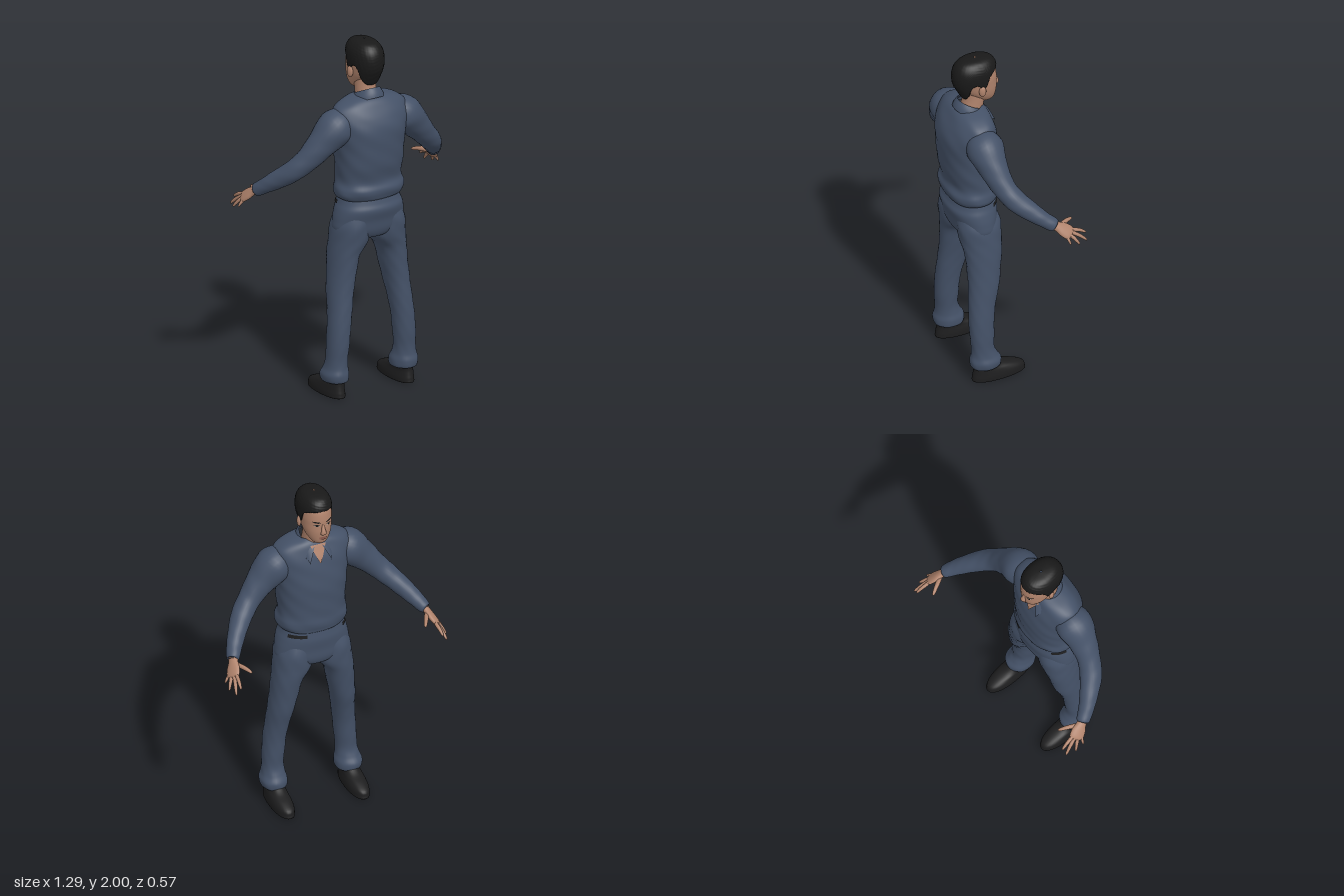
import * as THREE from 'three';

const mat = (name, color, side = THREE.FrontSide) => {
  const m = new THREE.MeshStandardMaterial({ color, side });
  m.name = name;
  return m;
};

// Smooth interpolation through rows of numbers, t in 0..1
function sample(rows, t) {
  const f = Math.min(Math.max(t, 0), 1) * (rows.length - 1);
  const i = Math.min(Math.floor(f), rows.length - 2), u = f - i;
  const at = k => rows[Math.min(Math.max(k, 0), rows.length - 1)];
  return rows[0].map((_, c) => {
    const [a, b, d, e] = [at(i - 1)[c], at(i)[c], at(i + 1)[c], at(i + 2)[c]];
    return b + 0.5 * u * (d - a + u * (2 * a - 5 * b + 4 * d - e + u * (3 * (b - d) + e - a)));
  });
}

// Grid surface from f(v, u) -> [x, y, z]; closed joins the last column to the first
function surface(f, nv, nu, closed = true) {
  const pos = [], idx = [], cols = closed ? nu : nu + 1;
  for (let i = 0; i <= nv; i++) for (let j = 0; j < cols; j++) pos.push(...f(i / nv, j / nu));
  for (let i = 0; i < nv; i++) for (let j = 0; j < nu; j++) {
    const k = (j + 1) % cols, a = i * cols + j, b = i * cols + k;
    idx.push(a, b, b + cols, a, b + cols, a + cols);
  }
  const g = new THREE.BufferGeometry();
  g.setAttribute('position', new THREE.Float32BufferAttribute(pos, 3));
  g.setIndex(idx);
  g.computeVertexNormals();
  return g;
}

const pw = (v, e) => Math.sign(v) * Math.abs(v) ** e;
// Point on a horizontal ring [y, cx, cz, rx, rz]; angle 0 is the back (+z)
const ringPoint = ([y, cx, cz, rx, rz], a, e, k = 1) =>
  [cx + k * rx * pw(Math.sin(a), e), y, cz + k * rz * pw(Math.cos(a), e)];

// Stack of horizontal rings with soft cloth folds
const loft = (rows, nv, nu, e = 1, fold = 0) => surface((v, u) => {
  const a = u * Math.PI * 2, r = sample(rows, v);
  return ringPoint(r, a, e, 1 + fold * Math.sin(a * 5 + r[0] * 23) * Math.sin(r[0] * 31 + a * 2));
}, nv, nu);

// Tube along rows [x, y, z, wide radius, thin radius]; w is the wide direction
function tube(rows, w, nv, nu, fold = 0) {
  const wide = new THREE.Vector3(...w);
  return surface((v, u) => {
    const r = sample(rows, v), a = u * Math.PI * 2;
    const p0 = sample(rows, v - 0.02), p1 = sample(rows, v + 0.02);
    const T = new THREE.Vector3(p1[0] - p0[0], p1[1] - p0[1], p1[2] - p0[2]).normalize();
    const A = wide.clone().addScaledVector(T, -wide.dot(T)).normalize();
    const B = T.clone().cross(A);
    const k = 1 + fold * Math.sin(a * 3 + v * 17) * Math.sin(v * 40 + a);
    return new THREE.Vector3(r[0], r[1], r[2]).addScaledVector(A, k * r[3] * Math.cos(a))
      .addScaledVector(B, k * r[4] * Math.sin(a)).toArray();
  }, nv, nu);
}

function mirrored(g) {
  const m = g.clone().scale(-1, 1, 1), ix = m.index.array;
  for (let i = 0; i < ix.length; i += 3) [ix[i], ix[i + 1]] = [ix[i + 1], ix[i]];
  m.computeVertexNormals();
  return m;
}

// Depth of the face side (-z) of a ring stack at x, y
function faceZ(rows, e, x, y) {
  let lo = 0, hi = 1;
  for (let i = 0; i < 30; i++) {
    const m = (lo + hi) / 2;
    if (sample(rows, m)[0] < y) lo = m; else hi = m;
  }
  const r = sample(rows, lo), q = Math.min(Math.abs(x) / r[3], 1);
  return r[2] - r[4] * (1 - q ** (2 / e)) ** (e / 2);
}

const HEAD = [[1.708, 0, 0.03, 0.01, 0.012], [1.715, 0, 0.027, 0.035, 0.042], [1.735, 0, 0.03, 0.052, 0.057],
  [1.765, 0, 0.045, 0.068, 0.078], [1.8, 0, 0.06, 0.078, 0.097], [1.84, 0, 0.072, 0.083, 0.108],
  [1.88, 0, 0.08, 0.085, 0.115], [1.93, 0, 0.085, 0.078, 0.108], [1.97, 0, 0.085, 0.05, 0.07], [1.985, 0, 0.085, 0.01, 0.01]];
const HAIR = [[1.75, 0, 0.095, 0.06, 0.068], [1.8, 0, 0.085, 0.081, 0.105], [1.85, 0, 0.087, 0.09, 0.126],
  [1.9, 0, 0.092, 0.093, 0.126], [1.945, 0, 0.088, 0.087, 0.121], [1.978, 0, 0.085, 0.068, 0.1],
  [1.994, 0, 0.085, 0.043, 0.065], [2, 0, 0.085, 0.004, 0.005]];
const TORSO = [[1.13, 0, 0.125, 0.1, 0.08], [1.122, 0, 0.122, 0.172, 0.125], [1.145, 0, 0.125, 0.198, 0.138],
  [1.18, 0, 0.126, 0.2, 0.144], [1.23, 0, 0.12, 0.188, 0.136], [1.32, 0, 0.128, 0.193, 0.147],
  [1.42, 0, 0.131, 0.2, 0.152], [1.52, 0, 0.138, 0.213, 0.147], [1.59, 0, 0.135, 0.222, 0.13],
  [1.645, 0, 0.13, 0.208, 0.105], [1.68, 0, 0.125, 0.15, 0.085], [1.7, 0, 0.12, 0.075, 0.06]];
const PELVIS = [[0.885, 0, 0.115, 0.05, 0.06], [0.9, 0, 0.115, 0.13, 0.1], [0.94, 0, 0.117, 0.208, 0.12],
  [1.0, 0, 0.121, 0.211, 0.127], [1.06, 0, 0.126, 0.198, 0.138], [1.1, 0, 0.122, 0.183, 0.13], [1.15, 0, 0.12, 0.17, 0.12]];
const LEG = [[0.1, 0.218, 0.132, 0.04, 0.05], [0.092, 0.218, 0.132, 0.068, 0.08], [0.13, 0.221, 0.133, 0.075, 0.087],
  [0.17, 0.219, 0.14, 0.064, 0.072], [0.22, 0.217, 0.148, 0.059, 0.063], [0.3, 0.212, 0.15, 0.061, 0.068],
  [0.4, 0.204, 0.148, 0.062, 0.071], [0.5, 0.192, 0.137, 0.064, 0.078], [0.6, 0.18, 0.121, 0.069, 0.088],
  [0.7, 0.165, 0.114, 0.075, 0.095], [0.8, 0.149, 0.11, 0.083, 0.105], [0.88, 0.118, 0.113, 0.106, 0.116],
  [0.97, 0.108, 0.118, 0.104, 0.122], [1.04, 0.09, 0.123, 0.09, 0.11]];
const SHOE = [[0, 0.221, 0.054, 0.01, 0.05], [0, 0.221, 0.054, 0.052, 0.148], [0.02, 0.221, 0.055, 0.058, 0.155],
  [0.045, 0.221, 0.058, 0.056, 0.148], [0.068, 0.221, 0.08, 0.051, 0.122], [0.088, 0.219, 0.11, 0.047, 0.09],
  [0.12, 0.218, 0.132, 0.043, 0.062]];
const ARM = [[0.13, 1.59, 0.135, 0.06, 0.06], [0.21, 1.545, 0.132, 0.104, 0.1], [0.3, 1.46, 0.122, 0.079, 0.082],
  [0.375, 1.38, 0.1, 0.064, 0.064], [0.44, 1.315, 0.058, 0.06, 0.058], [0.5, 1.255, -0.01, 0.051, 0.05],
  [0.54, 1.212, -0.065, 0.042, 0.042], [0.567, 1.18, -0.11, 0.036, 0.034], [0.569, 1.178, -0.113, 0.015, 0.015]];
const PALM = [[0.558, 1.19, -0.09, 0.026, 0.022], [0.572, 1.17, -0.125, 0.028, 0.019], [0.585, 1.148, -0.155, 0.04, 0.018],
  [0.599, 1.125, -0.185, 0.041, 0.015], [0.604, 1.117, -0.196, 0.025, 0.008], [0.606, 1.115, -0.198, 0.004, 0.002]];
// Finger base, tip and radius
const FINGERS = [[[0.588, 1.13, -0.215], [0.597, 1.095, -0.284], 0.0105], [[0.598, 1.122, -0.2], [0.622, 1.06, -0.279], 0.011],
  [[0.606, 1.12, -0.18], [0.641, 1.062, -0.226], 0.0105], [[0.609, 1.118, -0.16], [0.641, 1.077, -0.172], 0.009],
  [[0.56, 1.162, -0.15], [0.512, 1.15, -0.24], 0.013]];
const HAIRLINE = [1.755, 1.757, 1.765, 1.79, 1.855, 1.87, 1.835, 1.9, 1.92, 1.93, 1.932, 1.935].map(y => [y]);

export function createModel() {
  const root = new THREE.Group();
  root.name = 'standingMan';
  const cloth = mat('blueCloth', 0x445167), collarCloth = mat('collarCloth', 0x445167, THREE.DoubleSide);
  const skin = mat('skin', 0xb0836c), black = mat('blackLeather', 0x1d1d1e), hairMat = mat('blackHair', 0x191919);
  const lip = mat('lips', 0x8f5c50), white = mat('eyeWhite', 0xb9aaa0);
  const add = (name, g, m) => {
    const o = new THREE.Mesh(g, m);
    o.name = name;
    root.add(o);
  };
  const pair = (name, g, m) => {
    add('left' + name, g, m);
    add('right' + name, mirrored(g), m);
  };

  // Clothes and shoes
  add('shirt', loft(TORSO, 66, 56, 0.88, 0.016), cloth);
  add('trouserSeat', loft(PELVIS, 30, 48, 0.92), cloth);
  pair('TrouserLeg', loft(LEG, 80, 32, 0.95, 0.022), cloth);
  pair('Sleeve', tube(ARM, [0, 0, 1], 56, 28, 0.022), cloth);
  pair('Shoe', loft(SHOE, 24, 36, 0.9), black);

  // Short visible lengths of belt
  for (const [name, a0, a1] of [['leftBelt', 2.05, 2.75], ['rightBelt', 4.0, 4.6]])
    add(name, surface((v, u) => {
      const r = sample(PELVIS, 0.8 + 0.07 * v);
      return ringPoint(r, a0 + (a1 - a0) * u, 0.92, 1.025);
    }, 3, 14, false), black);

  // Open neckline and folded collar
  add('neckline', surface((v, u) => {
    const y = 1.575 + 0.1 * v, x = (0.5 - u) * (0.006 + 0.085 * v);
    return [x, y, faceZ(TORSO, 0.88, x, y) - 0.006];
  }, 14, 10, false), skin);
  add('collar', surface((v, u) => {
    const t = 2 * u - 1, a = t * 2.85, f = (1 - Math.cos(a)) / 2, tip = Math.abs(t) ** 8;
    const r = 0.07 + 0.028 * v + 0.004 * Math.sin(v * Math.PI);
    const y = 1.745 - 0.075 * f - v * (0.05 + 0.015 * f + 0.025 * tip);
    return [Math.sin(a) * r + Math.sign(t) * tip * v * 0.035, y, 0.105 + Math.cos(a) * (r + 0.008) - 0.012 * v * f];
  }, 8, 48, false), collarCloth);

  // Neck, head and ears
  add('neck', loft([[1.6, 0, 0.115, 0.07, 0.075], [1.68, 0, 0.105, 0.06, 0.064], [1.74, 0, 0.093, 0.058, 0.062],
    [1.8, 0, 0.09, 0.058, 0.062]], 12, 28), skin);
  add('head', loft(HEAD, 44, 44, 0.93), skin);
  pair('Ear', new THREE.SphereGeometry(1, 16, 12).scale(0.012, 0.032, 0.02).rotateY(-0.3).translate(0.09, 1.825, 0.083), skin);
  add('nose', tube([[0, 1.862, -0.027, 0.004, 0.004], [0, 1.83, -0.036, 0.009, 0.009], [0, 1.803, -0.044, 0.015, 0.012],
    [0, 1.792, -0.04, 0.017, 0.009], [0, 1.786, -0.034, 0.003, 0.003]], [1, 0, 0], 16, 14), skin);

  // Facial details following the curve of the face
  const spot = (x, y, rx, ry, off, tilt = 0) => surface((v, u) => {
    const a = u * Math.PI * 2, dx = v * rx * Math.cos(a);
    const px = x + dx, py = y + v * ry * Math.sin(a) + dx * tilt;
    return [px, py, faceZ(HEAD, 0.93, px, py) - off];
  }, 4, 18);
  pair('Eye', spot(0.034, 1.846, 0.014, 0.006, 0.002), white);
  pair('Pupil', spot(0.034, 1.846, 0.007, 0.006, 0.004), hairMat);
  pair('EyeLid', spot(0.034, 1.852, 0.016, 0.0025, 0.004, -0.1), hairMat);
  pair('Eyebrow', spot(0.036, 1.868, 0.021, 0.0045, 0.004, 0.12), hairMat);
  add('upperLip', spot(0, 1.765, 0.024, 0.005, 0.004), lip);
  add('lowerLip', spot(0, 1.757, 0.02, 0.006, 0.005), lip);

  // Cropped hair with a shaped hairline and rough surface
  add('hair', surface((v, u) => {
    const a = u * Math.PI * 2, d = Math.min(u, 1 - u) * 2;
    const low = (sample(HAIRLINE, d)[0] - 1.75) / 0.25;
    const w = Math.max(0, (v - 0.04) / 0.96);
    let lo = 0, hi = 1;
    const y = 1.75 + 0.25 * (low + (1 - low) * Math.sin(w * Math.PI / 2));
    for (let i = 0; i < 24; i++) {
      const m = (lo + hi) / 2;
      if (sample(HAIR, m)[0] < y) lo = m; else hi = m;
    }
    const rough = 0.012 * Math.sin(a * 17 + y * 260) * Math.sin(y * 190 - a * 9);
    return ringPoint(sample(HAIR, lo), a, 0.93, v === 0 ? 0.86 : 1 + rough);
  }, 40, 72), hairMat);

  // Hands with spread fingers
  pair('Palm', tube(PALM, [-0.045, 0.02, -0.12], 20, 20), skin);
  FINGERS.forEach(([b, t, r], i) => {
    const at = (k, s, lift) => [0, 1, 2].map(c => b[c] + (t[c] - b[c]) * k + (c === 1 ? lift : 0)).concat(r * s, r * s);
    const rows = [at(-0.25, 0.9, 0), at(0.1, 1, 0.001), at(0.45, 0.95, 0.005), at(0.8, 0.75, 0.003), at(0.95, 0.5, 0), at(1, 0.05, 0)];
    pair(i === 4 ? 'Thumb' : 'Finger' + (i + 1), tube(rows, [1, 0, 0.2], 14, 10), skin);
  });
  return root;
}
